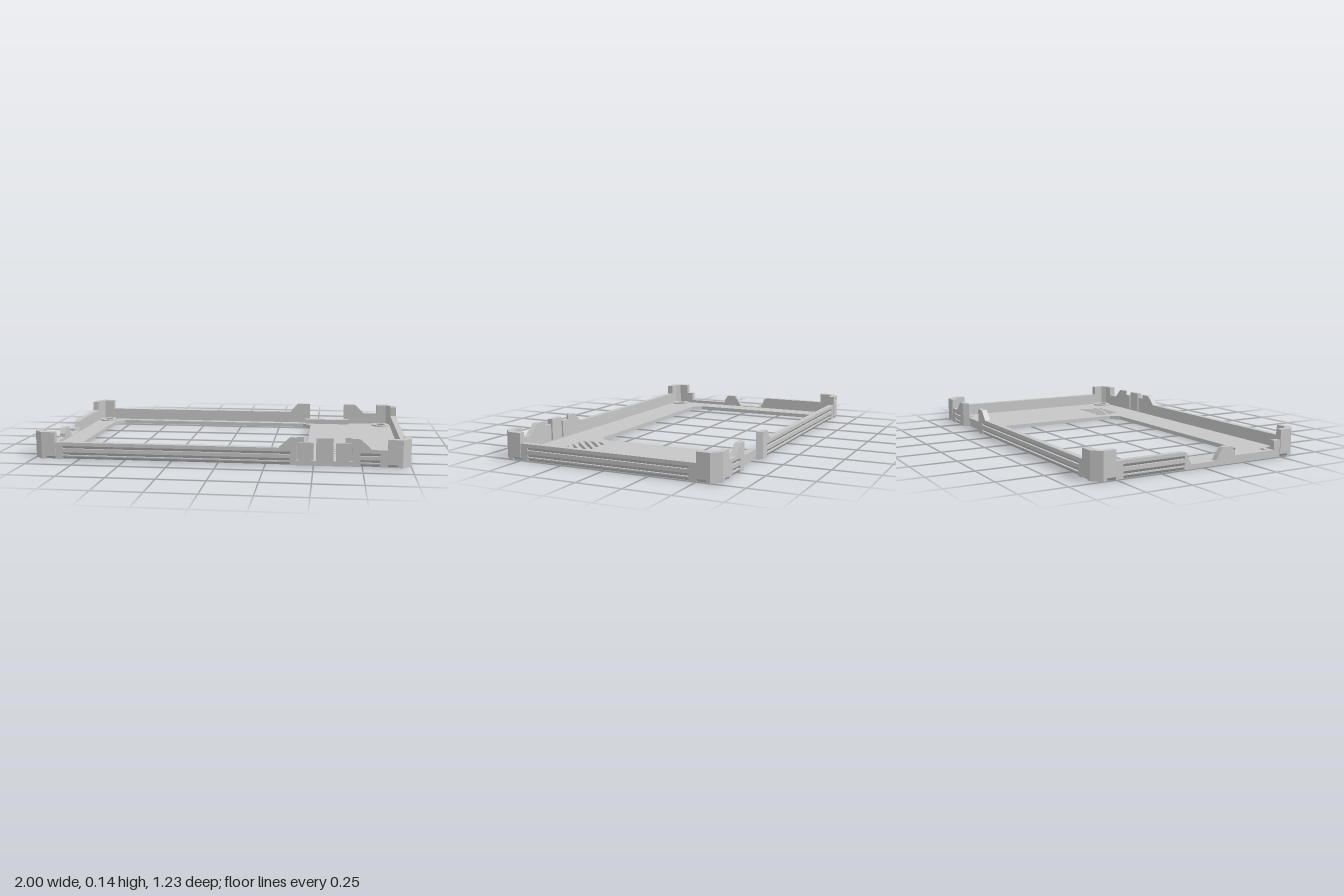
import * as THREE from 'three';

const grey = new THREE.MeshStandardMaterial({ color: 0xc6c6c6 });
grey.name = 'grey plastic';

const LOW = 0.09, TALL = 0.145, T = 0.032, FLOOR = 0.022;
const FOOT = 0.015, CUT = 0.013;

function polygon(pts, Type = THREE.Shape) {
  return new Type(pts.map(([x, y]) => new THREE.Vector2(x, y)));
}

function extrude(shape, depth) {
  return new THREE.ExtrudeGeometry(shape, { depth, bevelEnabled: false, curveSegments: 16 });
}

// Plan outline given as (x, z), extruded upwards
const plan = (pts, Type) => polygon(pts.map(([x, z]) => [x, -z]), Type);
const planExtrude = (shape, height) => extrude(shape, height).rotateX(-Math.PI / 2);

function add(parent, name, geometry) {
  const mesh = new THREE.Mesh(geometry, grey);
  mesh.name = name;
  parent.add(mesh);
  return mesh;
}

// Wall frame: u runs along the wall, y up, local z points outwards
function wallGroup(root, name, angle, x, z) {
  const g = new THREE.Group();
  g.name = name;
  g.rotation.y = angle;
  g.position.set(x, 0, z);
  root.add(g);
  return g;
}

// Piece drawn in elevation (u, y)
function panel(g, name, pts, thickness = T) {
  add(g, name, extrude(polygon(pts), thickness));
}

function block(g, name, u0, u1, h, y0 = 0, thickness = T) {
  panel(g, name, [[u0, y0], [u1, y0], [u1, h], [u0, h]], thickness);
}

// Piece drawn in cross-section (depth, y) and swept along the wall
function sweep(g, name, u0, u1, pts) {
  add(g, name, extrude(polygon(pts), u1 - u0).rotateY(-Math.PI / 2).translate(u1, 0, 0));
}

// Low wall with two undercut grooves and an undercut foot
function grooved(g, u0, u1) {
  const d = T - CUT;
  sweep(g, 'groovedWall', u0, u1, [
    [0, 0], [d, 0], [T, FOOT], [T, 0.021], [d, 0.021], [T, 0.036],
    [T, 0.056], [d, 0.056], [T, 0.071], [T, LOW], [0, LOW],
  ]);
}

// Sloped underside of the notches in the corner posts
function postNotch(g, u0, u1) {
  sweep(g, 'postNotch', u0, u1, [[0.036 - CUT, 0], [0.036, FOOT], [0.036 - CUT, FOOT]]);
}

function basePlate(root) {
  const X = 0.975, Z = 0.592, c = 0.035;
  const shape = plan([
    [-X, Z - c], [-X + c, Z], [X - c, Z], [X, Z - c], [X, -Z + c], [X - c, -Z],
    [0.68, -Z], [0.66, -0.575], [0.45, -0.575], [0.43, -Z], [-X + c, -Z], [-X, -Z + c],
  ]);
  // display opening
  shape.holes.push(plan([
    [-0.84, -0.48], [-0.79, -0.53], [0.405, -0.53], [0.455, -0.48],
    [0.455, 0.325], [0.405, 0.375], [-0.79, 0.375], [-0.84, 0.325],
  ], THREE.Path));
  // diagonal vent slots clipped to a rectangle
  const lower = (s) => { const x = Math.max(0.52, s - 0.43); return [x, s - x]; };
  const upper = (s) => { const x = Math.min(0.79, s - 0.27); return [x, s - x]; };
  for (let i = 0; i < 7; i++) {
    const s0 = 0.83 + i * 0.055, s1 = s0 + 0.025;
    shape.holes.push(plan([lower(s0), lower(s1), upper(s1), upper(s0)], THREE.Path));
  }
  // countersunk screw seats: outer wall, rim, bore and cone, each with crisp edges
  const R = 0.055, r = 0.029;
  const profile = [[R, 0], [R, 0.03], [r, 0.03], [r, 0.024], [R, 0]]
    .map(([x, y]) => new THREE.Vector2(x, y));
  for (const x of [-0.903, 0.903]) {
    for (const z of [-0.525, 0.522]) {
      shape.holes.push(new THREE.Path().absarc(x, -z, R, 0, Math.PI * 2, true));
      for (let i = 0; i < 4; i++) {
        add(root, 'screwSeat', new THREE.LatheGeometry([profile[i], profile[i + 1]], 32)).position.set(x, 0, z);
      }
    }
  }
  add(root, 'basePlate', planExtrude(shape, FLOOR));
}

function cornerPosts(root) {
  const inner = [[0.88, 0.58], [0.94, 0.58], [0.965, 0.555], [0.965, 0.5]];
  const post = [[1, 0.5], [1, 0.57], [0.955, 0.616], [0.88, 0.616], ...inner];
  const foot = [
    [1 - CUT, 0.5], [1 - CUT, 0.55], [1, 0.55], [1, 0.57], [0.955, 0.616],
    [0.93, 0.616], [0.93, 0.616 - CUT], [0.88, 0.616 - CUT], ...inner,
  ];
  for (const sx of [-1, 1]) {
    for (const sz of [-1, 1]) {
      const mirrored = (pts) => plan(pts.map(([x, z]) => [x * sx, z * sz]));
      add(root, 'cornerPost', planExtrude(mirrored(post), TALL - FOOT).translate(0, FOOT, 0));
      add(root, 'cornerFoot', planExtrude(mirrored(foot), FOOT));
    }
  }
}

function frontWall(root) {
  const g = wallGroup(root, 'frontWall', 0, 0, 0.58);
  postNotch(g, -0.93, -0.88);
  block(g, 'wallEnd', -0.88, -0.84, LOW);
  grooved(g, -0.84, 0.38);
  panel(g, 'ramp', [[0.32, LOW], [0.38, LOW], [0.38, TALL]]);
  // button bay: shoulders, three flexible tabs and the slots between them
  block(g, 'buttonSill', 0.38, 0.74, 0.026);
  block(g, 'shoulder', 0.38, 0.413, TALL, 0.026);
  block(g, 'shoulderBack', 0.413, 0.45, TALL, 0.026, 0.01);
  block(g, 'buttonTab', 0.421, 0.5, 0.12, 0.026, T - 0.004);
  block(g, 'buttonTab', 0.513, 0.602, TALL, 0.026);
  block(g, 'buttonTab', 0.615, 0.692, 0.12, 0.026, T - 0.004);
  block(g, 'shoulderBack', 0.662, 0.7, TALL, 0.026, 0.01);
  block(g, 'shoulder', 0.7, 0.74, TALL, 0.026);
  panel(g, 'ramp', [[0.74, LOW], [0.8, LOW], [0.74, TALL]]);
  grooved(g, 0.74, 0.84);
  block(g, 'wallEnd', 0.84, 0.88, LOW);
  postNotch(g, 0.88, 0.93);
}

function backWall(root) {
  // u = -x here
  const g = wallGroup(root, 'backWall', Math.PI, 0, -0.582);
  postNotch(g, 0.88, 0.93);
  block(g, 'wallEnd', 0.84, 0.88, LOW);
  grooved(g, -0.37, 0.84);
  panel(g, 'ramp', [[-0.37, LOW], [-0.32, LOW], [-0.37, TALL]]);
  // shoulders bevelled towards the connector gap
  add(g, 'shoulder', planExtrude(plan([[-0.37, 0], [-0.37, T], [-0.43, T], [-0.448, 0]]), TALL));
  add(g, 'shoulder', planExtrude(plan([[-0.74, 0], [-0.74, T], [-0.69, T], [-0.668, 0]]), TALL));
  panel(g, 'ramp', [[-0.8, LOW], [-0.74, LOW], [-0.74, TALL]]);
  grooved(g, -0.84, -0.74);
  block(g, 'wallEnd', -0.88, -0.84, LOW);
  postNotch(g, -0.93, -0.88);
  // raised ledge behind the connector gap
  add(root, 'connectorLedge', new THREE.BoxGeometry(0.28, 0.05, 0.04)).position.set(0.56, 0.025, -0.556);
}

function sideWalls(root) {
  const left = wallGroup(root, 'leftWall', Math.PI / 2, 0.964, 0);
  block(left, 'wallEnd', -0.5, -0.46, LOW);
  grooved(left, -0.46, 0.46);
  block(left, 'wallEnd', 0.46, 0.5, LOW);

  // u = z here: solid run, open gap, then a post and a low sill
  const right = wallGroup(root, 'rightWall', -Math.PI / 2, -0.964, 0);
  block(right, 'wallEnd', -0.5, -0.46, LOW);
  grooved(right, -0.46, -0.11);
  panel(right, 'gapEdge', [
    [-0.11, 0], [0.11, 0], [0.11, 0.07], [0.095, 0.05], [0.08, 0.025],
    [-0.07, 0.025], [-0.085, 0.05], [-0.095, 0.08], [-0.11, LOW],
  ]);
  panel(right, 'post', [[0.11, 0], [0.2, 0], [0.2, 0.06], [0.18, LOW], [0.125, LOW], [0.11, 0.07]]);
  block(right, 'sill', 0.2, 0.46, 0.04);
  block(right, 'wallEnd', 0.46, 0.5, LOW);

  for (const g of [left, right]) {
    postNotch(g, -0.55, -0.5);
    postNotch(g, 0.5, 0.55);
  }
}

export function createModel() {
  const root = new THREE.Group();
  root.name = 'enclosureBezel';
  basePlate(root);
  cornerPosts(root);
  frontWall(root);
  backWall(root);
  sideWalls(root);
  return root;
}
